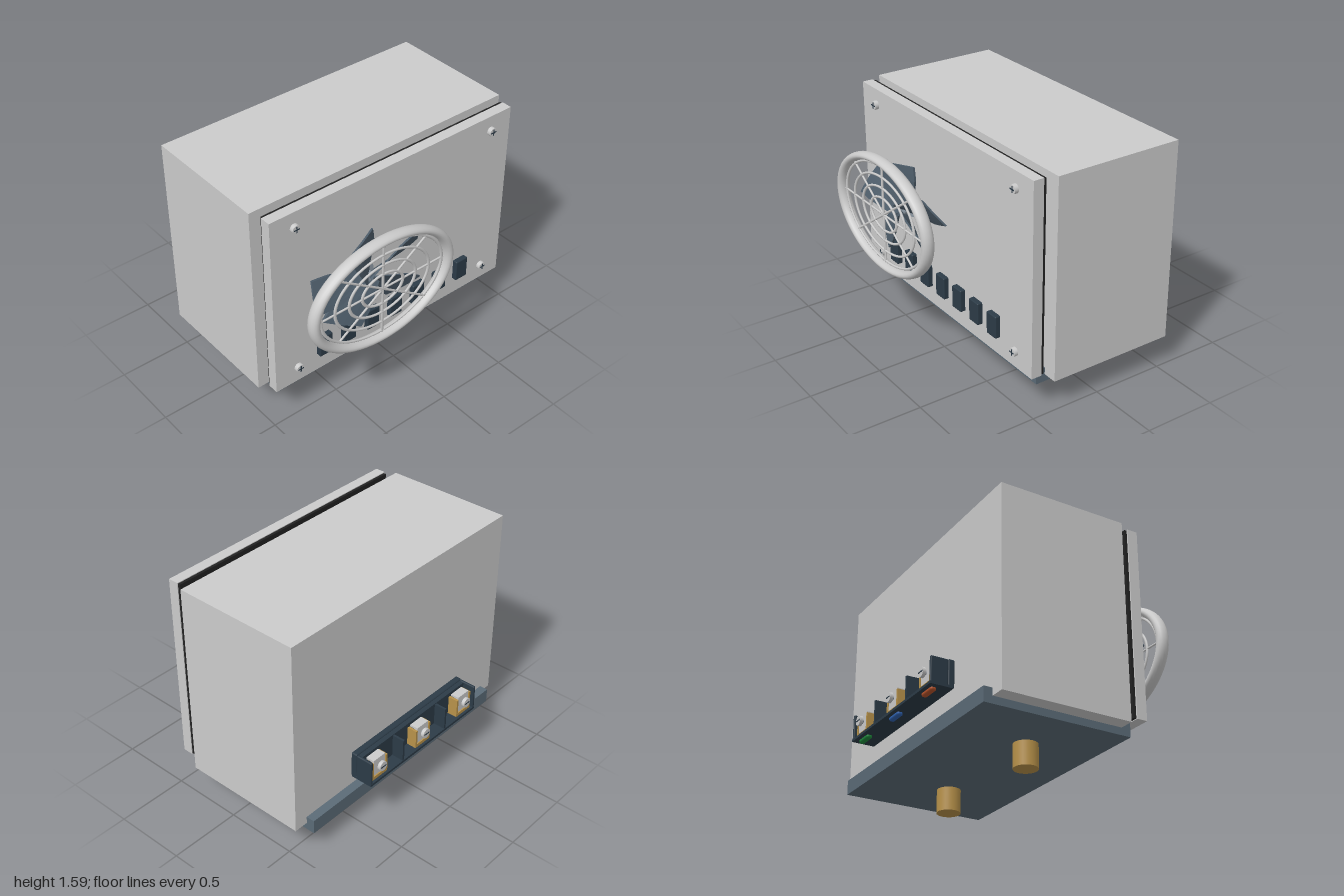
import * as THREE from 'three';
import { RoundedBoxGeometry } from 'three/addons/geometries/RoundedBoxGeometry.js';

const mat = (color, flatShading = false) => new THREE.MeshStandardMaterial({ color, flatShading });
const grey = mat(0xcccccc), slate = mat(0x5b6b77), navy = mat(0x2c3b47), bladeMat = mat(0x4d5c69, true);
const steel = mat(0x8f9ba6), gold = mat(0xb8924a), black = mat(0x222222);

export function createModel() {
  const model = new THREE.Group();

  const add = (name, geometry, material, x = 0, y = 0, z = 0, parent = model) => {
    const mesh = new THREE.Mesh(geometry, material);
    mesh.name = name;
    mesh.position.set(x, y, z);
    parent.add(mesh);
    return mesh;
  };
  // Box given by its limits on each axis
  const box = (name, material, [x0, x1], [y0, y1], [z0, z1], parent = model) =>
    add(name, new THREE.BoxGeometry(x1 - x0, y1 - y0, z1 - z0), material,
      (x0 + x1) / 2, (y0 + y1) / 2, (z0 + z1) / 2, parent);
  // Cylinder lying along z
  const rod = (name, material, radius, x, y, z0, z1, parent = model) =>
    add(name, new THREE.CylinderGeometry(radius, radius, z1 - z0, 24).rotateX(Math.PI / 2),
      material, x, y, (z0 + z1) / 2, parent);
  const group = (name, x = 0, y = 0, z = 0) => {
    const g = new THREE.Group();
    g.name = name;
    g.position.set(x, y, z);
    model.add(g);
    return g;
  };

  // Housing, base plate and feet
  box('housing', grey, [-1, 1], [0.21, 1.59], [-0.56, 0.34]);
  box('basePlate', slate, [-0.9, 0.9], [0.16, 0.26], [-0.62, 0.405]);
  for (const x of [-0.48, 0.475]) {
    add('foot', new THREE.CylinderGeometry(0.08, 0.08, 0.17, 32), gold, x, 0.085, -0.075);
  }

  // Front panel with its gasket, and the tapered duct behind them
  box('frontPanel', grey, [-0.965, 0.96], [0.26, 1.585], [0.412, 0.485]);
  box('gasket', black, [-0.955, 0.955], [0.265, 1.58], [0.393, 0.412]);
  const duct = new THREE.BoxGeometry(0.54, 0.75, 0.06);
  const dp = duct.attributes.position;
  for (let i = 0; i < dp.count; i++) if (dp.getZ(i) > 0) dp.setX(i, dp.getX(i) * 0.68);
  duct.computeVertexNormals();
  add('duct', duct, steel, 0, 0.835, 0.366);

  // Corner screws with a cross in the head
  for (const x of [-0.79, 0.79]) for (const y of [0.375, 1.475]) {
    const screw = group('panelScrew', x, y);
    rod('screwHead', grey, 0.03, 0, 0, 0.485, 0.513, screw);
    rod('screwTip', grey, 0.01, 0, 0, 0.383, 0.4, screw);
    box('slot', navy, [-0.022, 0.022], [-0.004, 0.004], [0.512, 0.515], screw);
    box('slot', navy, [-0.004, 0.004], [-0.022, 0.022], [0.512, 0.515], screw);
  }

  // Row of buttons
  for (let i = 0; i < 7; i++) {
    add('button', new RoundedBoxGeometry(0.1, 0.156, 0.06, 2, 0.008), navy, -0.59 + i * 0.195, 0.467, 0.491);
  }

  // Fan: oval shaft and five pitched blades
  const fan = group('fan', -0.32, 0.925, 0);
  fan.scale.x = 1.43;
  rod('fanShaft', steel, 0.065, 0, 0, 0.485, 0.54, fan);
  rod('fanHub', steel, 0.035, 0, 0, 0.54, 0.61, fan);
  const blade = new THREE.BoxGeometry(0.285, 1, 0.014, 6, 6, 1);
  const bp = blade.attributes.position;
  for (let i = 0; i < bp.count; i++) {
    const r = bp.getX(i) + 0.1625, t = bp.getY(i);
    const width = 0.07 + 0.11 * Math.min(1, (r - 0.02) / 0.2);
    bp.setXYZ(i, Math.sqrt(Math.max(r * r - t * t * 0.006, 0)), t * width,
      bp.getZ(i) + 0.105 * t + 0.02 * (0.25 - t * t));
  }
  blade.computeVertexNormals();
  for (let i = 0; i < 5; i++) {
    add('fanBlade', blade, bladeMat, 0, 0, 0.595, fan).rotation.z = (25 + i * 72) * Math.PI / 180;
  }

  // Oval fan guard: thick rim, thin rings and spokes
  const guard = group('fanGuard', -0.32, 0.925, 0.735);
  guard.scale.x = 1.43;
  add('guardRim', new THREE.TorusGeometry(0.373, 0.025, 16, 64), grey, 0, 0, 0, guard).scale.z = 1.75;
  for (const r of [0.338, 0.262, 0.185, 0.113]) {
    add('guardRing', new THREE.TorusGeometry(r, 0.008, 8, 64), grey, 0, 0, 0, guard);
  }
  for (let i = 0; i < 4; i++) {
    const spoke = new THREE.CylinderGeometry(0.007, 0.007, 0.73, 8);
    add('guardSpoke', spoke, grey, 0, 0, 0, guard).rotation.z = i * Math.PI / 4;
  }

  // Terminal block on the back: rail, floor, end walls and dividers
  const block = group('terminalBlock');
  add('blockRail', new RoundedBoxGeometry(1.07, 0.185, 0.045, 2, 0.01), navy, 0, 0.482, -0.625, block);
  box('blockWall', navy, [-0.53, 0.53], [0.39, 0.565], [-0.68, -0.64], block);
  box('blockFloor', navy, [-0.535, 0.535], [0.385, 0.402], [-0.768, -0.61], block);
  for (const x of [-0.525, 0.525]) {
    add('blockEnd', new RoundedBoxGeometry(0.02, 0.18, 0.12, 2, 0.008), navy, x, 0.48, -0.707, block);
  }
  for (const x of [-0.215, 0.215]) {
    box('blockDivider', navy, [x - 0.008, x + 0.008], [0.39, 0.56], [-0.765, -0.67], block);
  }

  // Terminals: brass cage, steel clamp plate, screw, and a coloured marker underneath
  [[0.43, 0x1f8a3c], [0, 0x2f62b0], [-0.43, 0xb5522a]].forEach(([x, color]) => {
    const terminal = group('terminal', x);
    for (const s of [-1, 1]) {
      box('cageSide', gold, [s * 0.065 - 0.008, s * 0.065 + 0.008], [0.4, 0.535], [-0.75, -0.675], terminal);
    }
    box('cageBottom', gold, [-0.06, 0.06], [0.402, 0.425], [-0.75, -0.68], terminal);
    box('clampPlate', grey, [-0.055, 0.055], [0.43, 0.545], [-0.745, -0.725], terminal);
    box('clampTop', grey, [-0.055, 0.055], [0.535, 0.55], [-0.745, -0.685], terminal);
    rod('terminalScrew', steel, 0.014, 0, 0.495, -0.76, -0.68, terminal);
    rod('terminalScrewHead', grey, 0.034, 0, 0.495, -0.78, -0.758, terminal);
    box('screwSlot', navy, [-0.025, 0.025], [0.491, 0.499], [-0.782, -0.779], terminal);
    add('marker', new RoundedBoxGeometry(0.13, 0.035, 0.04, 3, 0.015), mat(color), 0, 0.381, -0.72, terminal);
  });

  return model;
}
